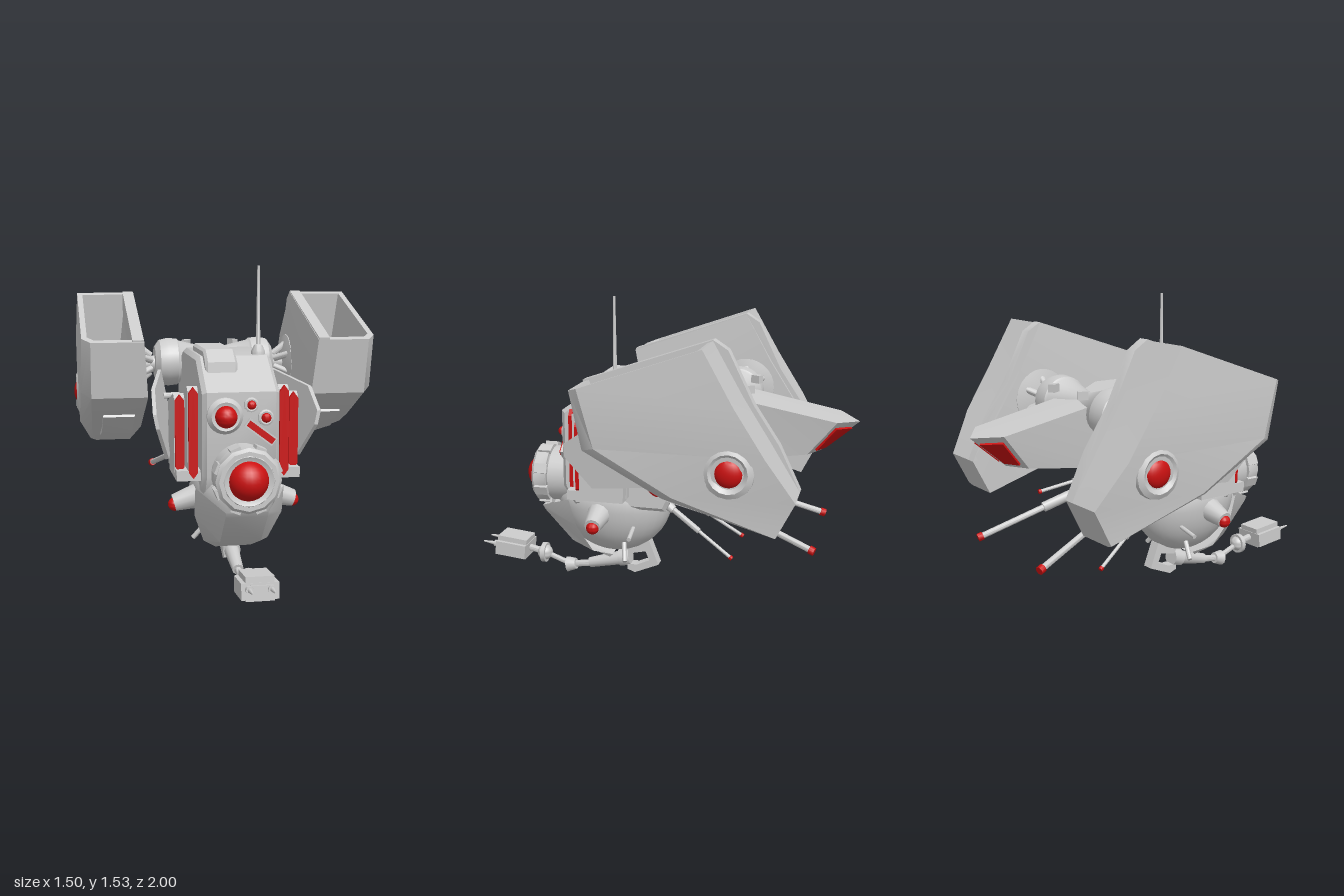
import * as THREE from 'three';
import { toCreasedNormals } from 'three/addons/utils/BufferGeometryUtils.js';

const V = (x, y, z) => new THREE.Vector3(x, y, z);
const grey = new THREE.MeshStandardMaterial({ color: 0xcccccc });
const thin = new THREE.MeshStandardMaterial({ color: 0xcccccc, side: THREE.DoubleSide });
const red = new THREE.MeshStandardMaterial({ color: 0xcc1111 });

function add(parent, name, geo, mat = grey) {
  const m = new THREE.Mesh(toCreasedNormals(geo, 0.6), mat);
  m.name = name;
  parent.add(m);
  return m;
}

function box(parent, name, w, h, d, x, y, z, mat) {
  const m = add(parent, name, new THREE.BoxGeometry(w, h, d), mat);
  m.position.set(x, y, z);
  return m;
}

// Tapered rod between two points
function rod(parent, name, a, b, r1, r2 = r1, mat = grey, sides = 12) {
  const d = b.clone().sub(a);
  const m = add(parent, name, new THREE.CylinderGeometry(r2, r1, d.length(), sides), mat);
  m.position.copy(a).addScaledVector(d, 0.5);
  m.quaternion.setFromUnitVectors(V(0, 1, 0), d.normalize());
  return m;
}

function ball(parent, name, r, x, y, z, mat = grey) {
  const m = add(parent, name, new THREE.SphereGeometry(r, 24, 16), mat);
  m.position.set(x, y, z);
  return m;
}

// Turned part: [radius, height] pairs around an axis
function turned(parent, name, pts, pos, axis = 'y', mat = grey, sides = 28) {
  const g = new THREE.LatheGeometry(pts.map(p => new THREE.Vector2(p[0], p[1])), sides);
  if (axis === 'z') g.rotateX(Math.PI / 2);
  if (axis === 'x') g.rotateZ(-Math.PI / 2);
  const m = add(parent, name, g, mat);
  m.position.copy(pos);
  return m;
}

// Side profile of [z, y] points, extruded across x
function slab(parent, name, pts, width, x = 0, bevel = 0) {
  const s = new THREE.Shape(pts.map(p => new THREE.Vector2(p[0], p[1])));
  const g = new THREE.ExtrudeGeometry(s, {
    depth: width - 2 * bevel, bevelEnabled: bevel > 0, bevelSize: bevel,
    bevelOffset: -bevel, bevelThickness: bevel, bevelSegments: 1,
  });
  g.translate(0, 0, bevel - width / 2).rotateY(-Math.PI / 2).translate(x, 0, 0);
  return add(parent, name, g);
}

// Skin over equal-length loops of points; closed lofts are capped and face outward
function loft(sections, closed = true, fanFrom = 0) {
  const n = sections[0].length, P = sections.flat(), idx = [];
  for (let i = 0; i < sections.length - 1; i++)
    for (let j = 0; j < (closed ? n : n - 1); j++) {
      const a = i * n + j, b = i * n + (j + 1) % n;
      idx.push(a, b, b + n, a, b + n, a + n);
    }
  if (closed) for (let k = 1; k < n - 1; k++) {
    const o = (sections.length - 1) * n, p = fanFrom, q = (p + k) % n, r = (p + k + 1) % n;
    idx.push(p, r, q, o + p, o + q, o + r);
  }
  let vol = 0;
  for (let i = 0; i < idx.length; i += 3)
    vol += P[idx[i]].dot(P[idx[i + 1]].clone().cross(P[idx[i + 2]]));
  if (vol < 0) idx.reverse();
  const g = new THREE.BufferGeometry().setFromPoints(P);
  g.setIndex(idx);
  return g;
}

function addSide(root, s) {
  const g = new THREE.Group();
  g.name = s > 0 ? 'leftSide' : 'rightSide';
  g.scale.x = s;
  root.add(g);

  // Pod: recess floor, inner rim, outer rim, then back to the tail end
  const podLoop = ([fz, fy, bz, by, xi, xo, c]) =>
    [[xi, 0], [xo - c, 0], [xo, c * 2], [xo, 1], [xi, 1]]
      .map(([x, t]) => V(x, fy + (by - fy) * t, fz + (bz - fz) * t));
  add(g, 'pod', loft([
    [0.12, 0.95, -0.38, 1.13, 0.5, 0.68, 0.02],
    [0.225, 1.18, -0.335, 1.375, 0.475, 0.7, 0.03],
    [0.257, 1.17, -0.36, 1.385, 0.43, 0.727, 0.04],
    [0.2, 0.895, -0.5, 1.14, 0.41, 0.735, 0.05],
    [-0.17, 0.69, -0.64, 0.92, 0.415, 0.73, 0.06],
    [-0.68, 0.53, -0.77, 0.71, 0.435, 0.66, 0.03],
  ].map(podLoop)));
  slab(g, 'podInnerRail', [[0.25, 1.15], [0.255, 1.18], [-0.36, 1.39], [-0.43, 1.345],
    [-0.55, 1.1], [-0.67, 0.92], [-0.77, 0.71], [-0.5, 0.75], [0, 0.95]], 0.055, 0.46);
  slab(g, 'podKeel', [[-0.02, 0.81], [0.0, 0.77], [-0.17, 0.665], [-0.42, 0.6], [-0.45, 0.7]], 0.16, 0.54);
  turned(g, 'podLampRing', [[0, -0.06], [0.12, -0.06], [0.115, 0.012], [0.09, 0.025], [0.07, 0.01], [0, 0.01]],
    V(0.715, 0.845, -0.48), 'x', grey, 16);
  ball(g, 'podLamp', 0.066, 0.715, 0.845, -0.48, red).scale.x = 0.55;

  // Axle between shoulder and pod
  rod(g, 'axle', V(0.28, 1, -0.37), V(0.45, 1, -0.37), 0.045);
  turned(g, 'axleFlange', [[0, 0], [0.06, 0], [0.15, 0.025], [0.15, 0.05], [0, 0.05]], V(0.385, 1, -0.37), 'x');
  for (let i = 0; i < 6; i++) {
    const c = Math.cos(i * Math.PI / 3), n = Math.sin(i * Math.PI / 3);
    rod(g, 'axleStrut', V(0.34, 1 + 0.045 * c, -0.37 + 0.045 * n), V(0.41, 1 + 0.1 * c, -0.37 + 0.1 * n), 0.018);
  }
  const clamp = box(g, 'shoulderClamp', 0.035, 0.04, 0.05, 0.13, 1.1, -0.47);
  clamp.rotation.y = 0.5;

  // Stacked cheek vents with red front strips
  [[0.22, 0.53, 0.97, 0.4], [0.278, 0.55, 0.93, 0.35]].forEach(([x, y0, y1, z]) => {
    slab(g, 'cheekVent', [[0.12, y0], [z, y0], [z, y1 - 0.02], [z - 0.03, y1], [0.12, y1 - 0.06]], 0.05, x);
    const w = 0.022, t = new THREE.Shape([[-w, y0 + 0.03], [0, y0], [w, y0 + 0.03], [w, y1 - 0.03], [0, y1], [-w, y1 - 0.03]]
      .map(p => new THREE.Vector2(...p)));
    add(g, 'ventStrip', new THREE.ExtrudeGeometry(t, { depth: 0.02, bevelEnabled: false }), red).position.set(x, 0, z);
  });
  box(g, 'ventLedge', 0.12, 0.05, 0.29, 0.24, 0.545, 0.27);

  // Flared side shield, leaning with z and y
  const shield = [[0.39, 0.84], [0.39, 0.77], [0.27, 0.6], [0, 0.61], [-0.25, 0.76], [-0.25, 0.98], [0.24, 0.94]];
  const sheet = o => shield.map(([z, y]) => V(0.27 + (z + 0.25) * 0.19 + (y - 0.85) * 0.2 + o, y, z));
  add(g, 'sideShield', loft([sheet(0), sheet(0.018)]));
  for (const [y, z] of [[0.86, -0.11], [0.75, 0.09], [0.68, -0.05]])
    rod(g, 'shieldStrut', V(0.14, y, z), V(0.3, y, z), 0.016);

  // Side sensor horn, feelers and side light
  rod(g, 'sensorHorn', V(0.17, 0.42, 0.285), V(0.3, 0.385, 0.285), 0.065, 0.042);
  ball(g, 'sensorLamp', 0.033, 0.295, 0.378, 0.285, red);
  rod(g, 'feeler', V(0.16, 0.345, 0.11), V(0.28, 0.325, 0.1), 0.011);
  rod(g, 'feeler', V(0.11, 0.26, 0.175), V(0.185, 0.165, 0.15), 0.013);
  const light = ball(g, 'sideLight', 0.05, 0.178, 0.565, 0, red);
  light.scale.set(0.3, 0.45, 1);
  light.rotation.x = -0.75;

  // Rear guns with red tips
  [[V(0.13, 0.6, -0.13), V(0.295, 0.355, -0.83), 0.026],
    [V(0.1, 0.48, -0.04), V(0.17, 0.23, -0.41), 0.015],
    [V(0.1, 0.64, -0.17), V(0.165, 0.575, -0.55), 0.015]].forEach(([a, b, r]) => {
    const at = t => a.clone().lerp(b, t);
    rod(g, 'gunMount', at(0), at(0.14), r * 1.9, r * 1.5);
    rod(g, 'gunSleeve', at(0.1), at(0.52), r);
    rod(g, 'gunBarrel', at(0.5), at(0.98), r * 0.6);
    rod(g, 'gunTip', at(0.965), at(1), r * 0.8, r * 0.8, red);
  });
}

export function createModel() {
  const root = new THREE.Group();
  root.name = 'hoverDrone';

  // Hull, roof locker and shoulder beam
  slab(root, 'hull', [[0.48, 0.95], [0.27, 1.1], [-0.2, 1.1], [-0.42, 1.0], [-0.42, 0.8],
    [-0.16, 0.65], [-0.06, 0.45], [0.42, 0.45], [0.48, 0.55]], 0.37, 0, 0.02);
  slab(root, 'roofLocker', [[0.37, 1.03], [0.365, 1.08], [0.29, 1.135], [-0.06, 1.135], [-0.06, 1.05]], 0.155, -0.075, 0.012);
  turned(root, 'shoulderBeam', [[0, -0.32], [0.085, -0.32], [0.12, -0.295], [0.13, -0.25], [0.125, -0.2], [0.115, -0.19],
    [0.07, 0], [0.115, 0.19], [0.125, 0.2], [0.13, 0.25], [0.12, 0.295], [0.085, 0.32], [0, 0.32]], V(0, 1.01, -0.36), 'x');

  // Pointed tail with two red windows under the tip
  const tailLoop = ([w, wy, wz, cy, cz, b, by, bz, bcz]) =>
    [V(-w, wy, wz), V(0, cy, cz), V(w, wy, wz), V(b, by, bz), V(0, by, bcz), V(-b, by, bz)];
  const end = tailLoop([0.138, 0.958, -0.9, 0.94, -1, 0.11, 0.785, -0.76, -0.82]);
  add(root, 'tail', loft([tailLoop([0.15, 1.05, -0.42, 1.06, -0.38, 0.12, 0.72, -0.3, -0.3]), end], true, 1));
  for (const quad of [[1, 2, 3, 4], [0, 1, 4, 5]].map(q => q.map(i => end[i]))) {
    const c = quad.reduce((s, p) => s.add(p), V(0, 0, 0)).multiplyScalar(0.25);
    const n = quad[2].clone().sub(quad[0]).cross(quad[3].clone().sub(quad[1])).normalize();
    const pane = o => quad.map(p => c.clone().lerp(p, 0.68).addScaledVector(n, o));
    add(root, 'tailWindow', loft([pane(-0.012), pane(0.012)]), red);
  }

  // Round belly and faceted chin armour
  const bowl = [];
  for (let i = 0; i <= 10; i++) bowl.push([Math.sin(i * Math.PI / 20), -Math.cos(i * Math.PI / 20)]);
  bowl.push([0.95, 0.1], [0, 0.1]);
  const bellyGeo = new THREE.LatheGeometry(bowl.map(p => new THREE.Vector2(...p)), 32).scale(0.205, 0.31, 0.31);
  add(root, 'belly', bellyGeo).position.set(0, 0.475, 0.25);
  const chinRow = ([w, y, z, sw, sy, sz]) => [V(-sw, sy, sz), V(-w, y, z), V(w, y, z), V(sw, sy, sz)];
  add(root, 'chinArmour', loft([
    [0.1, 0.41, 0.625, 0.215, 0.49, 0.44], [0.1, 0.385, 0.61, 0.215, 0.35, 0.4],
    [0.1, 0.225, 0.46, 0.16, 0.2, 0.33], [0.09, 0.145, 0.26, 0.1, 0.165, 0.24],
  ].map(chinRow), false), thin);

  // Main eye in a clamped housing
  const eyeAt = V(0, 0.565, 0);
  turned(root, 'eyeHousing', [[0, 0.4], [0.145, 0.4], [0.145, 0.58], [0.13, 0.6], [0.13, 0.655], [0.115, 0.67], [0.095, 0.66], [0, 0.66]], eyeAt, 'z');
  turned(root, 'eyeCollar', [[0.12, 0.59], [0.155, 0.59], [0.155, 0.655], [0.14, 0.67], [0.12, 0.67], [0.12, 0.59]], eyeAt, 'z', grey, 12);
  ball(root, 'mainEye', 0.095, 0, 0.565, 0.64, red);
  for (let i = 0; i < 8; i++) {
    const a = (i + 0.5) * Math.PI / 4;
    box(root, 'eyeClamp', 0.05, 0.022, 0.07, 0.152 * Math.cos(a), 0.565 + 0.152 * Math.sin(a), 0.615).rotation.z = a + Math.PI / 2;
  }

  // Small eyes and slanted red slot
  for (const [x, y, r] of [[-0.08, 0.84, 0.052], [0.045, 0.89, 0.021], [0.115, 0.828, 0.023]]) {
    turned(root, 'smallEyeRing', [[0, -0.02], [r * 1.7, -0.02], [r * 1.65, 0.01], [r * 1.3, r * 0.6], [r, r * 0.5], [0, r * 0.5]], V(x, y, 0.48), 'z');
    ball(root, 'smallEye', r, x, y, 0.48 + r * 0.7, red);
  }
  const slot = new THREE.Group();
  slot.name = 'redSlot';
  slot.position.set(0.09, 0.76, 0.485);
  slot.rotation.z = -0.65;
  root.add(slot);
  box(slot, 'slotFrame', 0.165, 0.045, 0.02, 0, 0, 0);
  box(slot, 'slotLight', 0.15, 0.03, 0.02, 0, 0, 0.008, red);

  // Antenna
  turned(root, 'antenna', [[0, 0], [0.034, 0], [0.034, 0.025], [0.02, 0.055], [0.011, 0.06], [0.006, 0.44], [0, 0.44]], V(0.135, 1.09, 0.205));

  // Jointed grabber arm under the belly
  slab(root, 'armBracket', [[0.19, 0.19], [0.06, 0.23], [0.01, 0.1], [0.14, 0.045], [0.18, 0.06],
    [0.18, 0.09], [0.13, 0.09], [0.06, 0.12], [0.08, 0.17], [0.17, 0.15]], 0.06);
  rod(root, 'upperArm', V(0, 0.12, 0.19), V(0, 0.065, 0.4), 0.04, 0.028);
  rod(root, 'armCuff', V(0, 0.122, 0.17), V(0, 0.11, 0.23), 0.046);
  rod(root, 'foreArm', V(0, 0.065, 0.38), V(0, 0.045, 0.52), 0.018);
  rod(root, 'elbow', V(0, 0.05, 0.48), V(0, 0.042, 0.53), 0.03, 0.042);
  rod(root, 'wristRod', V(0, 0.045, 0.51), V(0, 0.105, 0.67), 0.014);
  ball(root, 'wristBall', 0.042, 0, 0.1, 0.66);
  turned(root, 'wristCollar', [[0.03, -0.012], [0.054, -0.012], [0.054, 0.012], [0.03, 0.012]], V(0, 0.1, 0.66), 'z', thin);
  rod(root, 'headNeck', V(0, 0.105, 0.67), V(0, 0.125, 0.77), 0.018);
  const head = new THREE.Group();
  head.name = 'grabberHead';
  head.position.set(0, 0.135, 0.83);
  head.rotation.x = -0.1;
  root.add(head);
  box(head, 'headBlock', 0.17, 0.075, 0.17, 0, -0.01, 0);
  box(head, 'headTop', 0.13, 0.11, 0.165, 0, 0, 0);
  box(head, 'headPlate', 0.09, 0.035, 0.02, 0, 0, 0.085);
  for (const x of [-0.05, 0.05]) {
    rod(head, 'prongSocket', V(x, 0, 0.07), V(x, 0, 0.105), 0.018);
    rod(head, 'prong', V(x, 0, 0.1), V(x, 0, 0.17), 0.011, 0.004);
  }

  addSide(root, 1);
  addSide(root, -1);
  return root;
}
